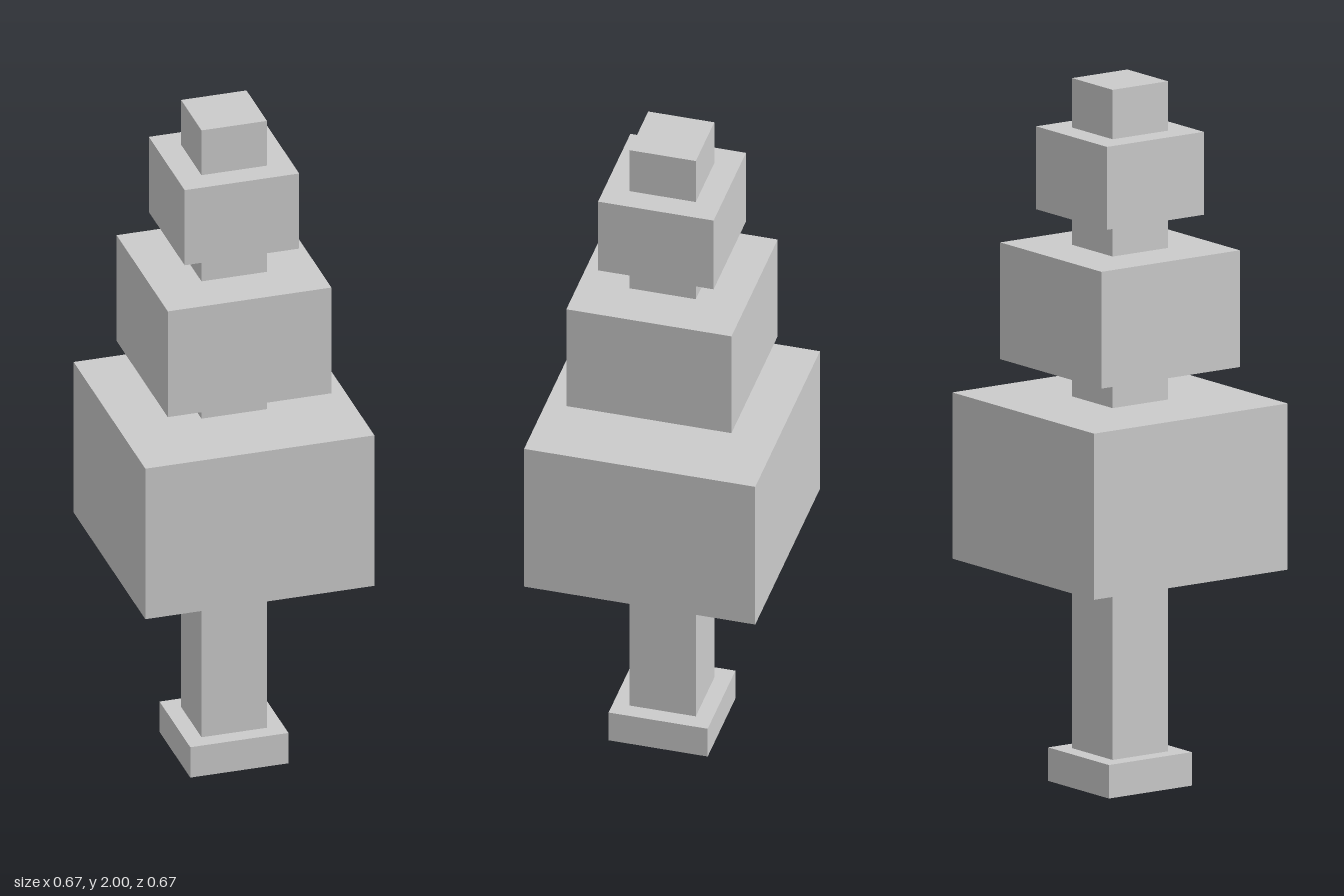
import * as THREE from 'three';

const UNIT = 1 / 21; // block unit: the whole stack is 42 units tall

export function createModel() {
  const group = new THREE.Group();
  const material = new THREE.MeshStandardMaterial({ color: 0xcccccc, flatShading: true });

  // Square blocks stacked from the ground up: name, width, height
  const blocks = [
    ['base', 6, 2],
    ['trunk', 4, 10.08],
    ['collar', 6, 1],
    ['lowerTier', 14, 9.92],
    ['lowerNeck', 4, 2.08],
    ['middleTier', 10, 6.97],
    ['upperNeck', 4, 2.05],
    ['upperTier', 7, 4.95],
    ['topBlock', 4, 2.95],
  ];

  let y = 0;
  for (const [name, width, height] of blocks) {
    const w = width * UNIT;
    const h = height * UNIT;
    const mesh = new THREE.Mesh(new THREE.BoxGeometry(w, h, w), material);
    mesh.name = name;
    mesh.position.y = y + h / 2;
    group.add(mesh);
    y += h;
  }

  return group;
}
